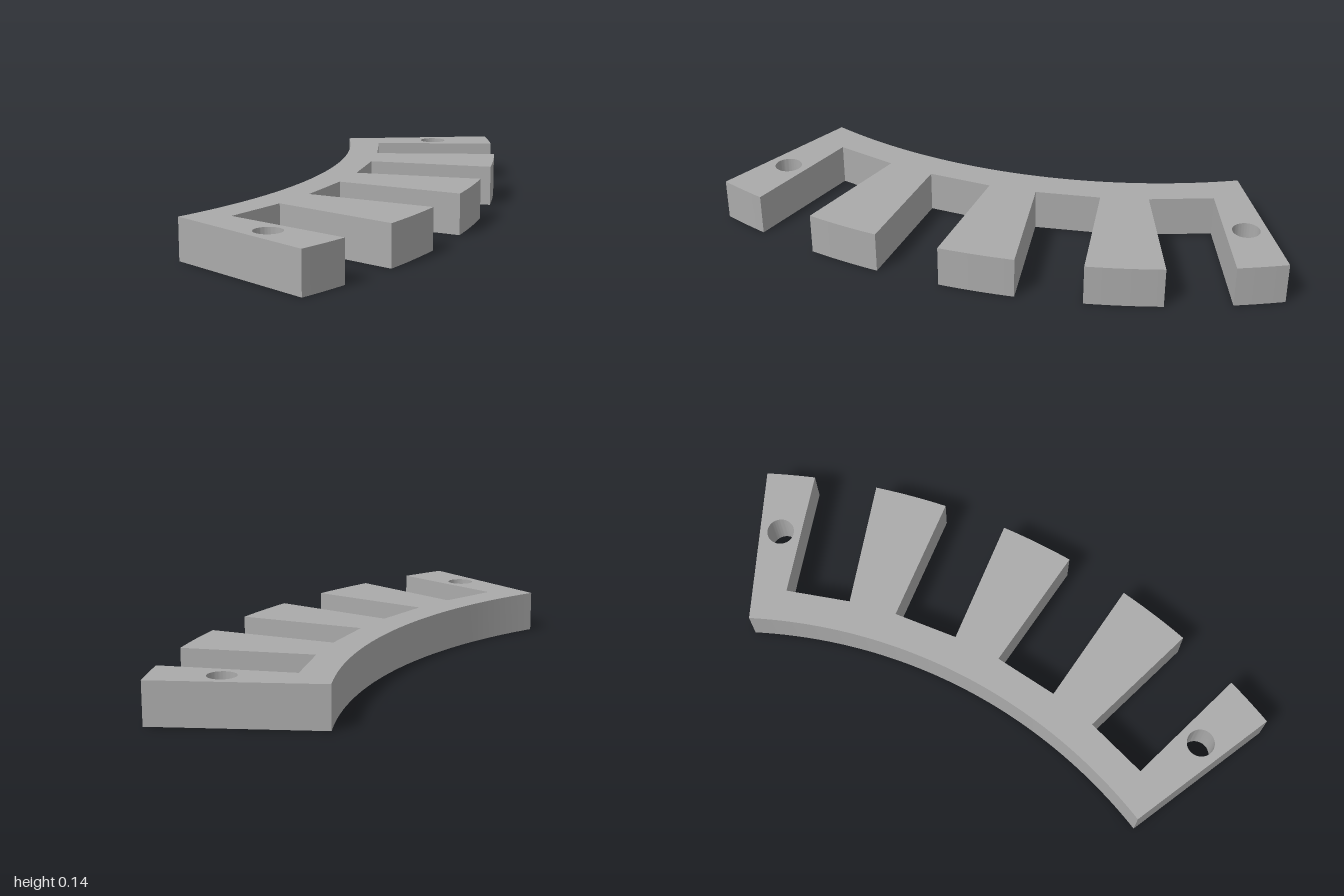
import * as THREE from 'three';
import { toCreasedNormals } from 'three/addons/utils/BufferGeometryUtils.js';

const HEIGHT = 0.145;
const INNER = 1.817, OUTER = 2.388;      // ring radii
const CX = -1.975, CY = 0.229;           // ring centre in the shape plane (y = -z)
const START = -30.9, END = 18.9;         // ends of the segment, degrees
const SLOTS = [-23.8, -11.9, 0, 11.9];   // slot directions, degrees
const FLOOR = 1.929, HALF = 0.115;       // slot floor distance and half width
const rad = THREE.MathUtils.degToRad;

// Point at a distance along a radial direction, shifted sideways
function slotPoint(deg, along, side) {
  const c = Math.cos(rad(deg)), s = Math.sin(rad(deg));
  return [CX + along * c - side * s, CY + along * s + side * c];
}

export function createModel() {
  const grey = new THREE.MeshStandardMaterial({ color: 0xaaaaaa });
  grey.name = 'grey';

  // Toothed outer edge with parallel-walled slots, then the smooth inner arc
  const shape = new THREE.Shape();
  shape.moveTo(...slotPoint(START, INNER, 0));
  const spread = Math.asin(HALF / OUTER);
  let from = rad(START);
  for (const slot of SLOTS) {
    shape.absarc(CX, CY, OUTER, from, rad(slot) - spread, false);
    shape.lineTo(...slotPoint(slot, FLOOR, -HALF));
    shape.lineTo(...slotPoint(slot, FLOOR, HALF));
    from = rad(slot) + spread;
    shape.lineTo(...slotPoint(slot, Math.sqrt(OUTER ** 2 - HALF ** 2), HALF));
  }
  shape.absarc(CX, CY, OUTER, from, rad(END), false);
  shape.absarc(CX, CY, INNER, rad(END), rad(START), true);

  // Screw holes in the two end arms
  for (const [x, z] of [[0.09, -0.857], [-0.085, 0.812]]) {
    const hole = new THREE.Path();
    hole.absarc(x, -z, 0.048, 0, Math.PI * 2, true);
    shape.holes.push(hole);
  }

  const geometry = new THREE.ExtrudeGeometry(shape, {
    depth: HEIGHT, bevelEnabled: false, curveSegments: 32,
  });
  geometry.rotateX(-Math.PI / 2);

  const mesh = new THREE.Mesh(toCreasedNormals(geometry, rad(30)), grey);
  mesh.name = 'slottedRingSegment';
  const group = new THREE.Group();
  group.name = 'slottedBracket';
  group.add(mesh);
  return group;
}
